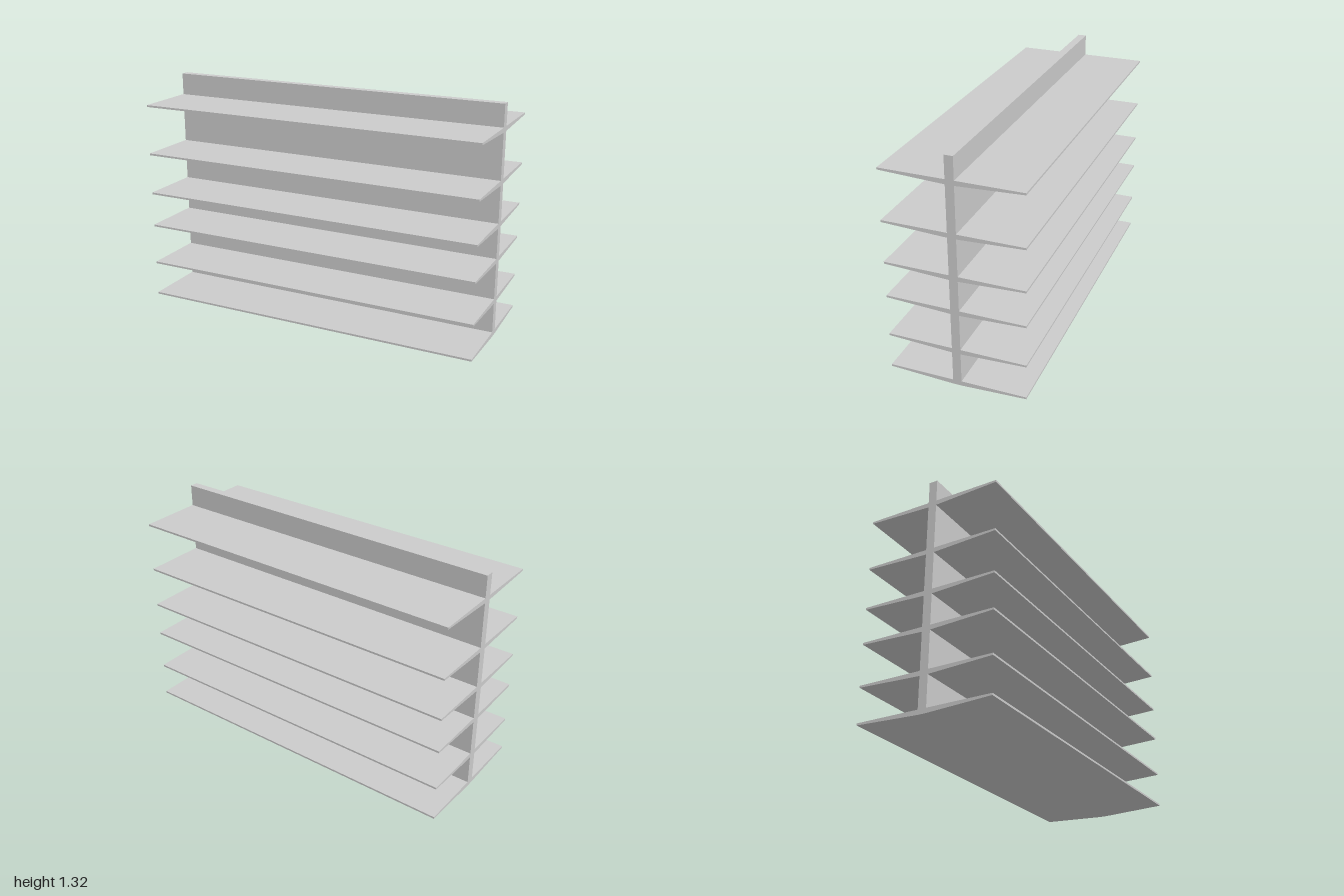
import * as THREE from 'three';

const LENGTH = 2, HEIGHT = 1.317, HALF_WALL = 0.024, REACH = 0.386;
const ROOT = 0.027, LIP = 0.011; // shelf thickness at the wall and at the outer edge
const SHELF_TOPS = [0.027, 0.227, 0.464, 0.665, 0.904, 1.191];

// Extrudes a (z, y) outline along x, centred on x = 0
function extrudeAlongX(points) {
  const shape = new THREE.Shape(points.map(([z, y]) => new THREE.Vector2(z, y)));
  const geometry = new THREE.ExtrudeGeometry(shape, { depth: LENGTH, bevelEnabled: false });
  return geometry.translate(0, 0, -LENGTH / 2).rotateY(-Math.PI / 2);
}

export function createModel() {
  const model = new THREE.Group();
  model.name = 'doubleSidedShelving';
  const material = new THREE.MeshStandardMaterial({ color: 0xcccccc, flatShading: true });

  // Upright centre wall
  const wall = new THREE.Mesh(new THREE.BoxGeometry(LENGTH, HEIGHT, HALF_WALL * 2), material);
  wall.name = 'centreWall';
  wall.position.y = HEIGHT / 2;
  model.add(wall);

  // Tapered shelf, flat on top and thinning towards the outer edge
  const shelfGeometry = extrudeAlongX([
    [HALF_WALL, -ROOT], [REACH, -LIP], [REACH, 0], [HALF_WALL, 0],
  ]);

  // One shelf on each side of the wall at every level
  SHELF_TOPS.forEach((top, i) => {
    for (const side of ['front', 'back']) {
      const shelf = new THREE.Mesh(shelfGeometry, material);
      shelf.name = `${side}Shelf${i + 1}`;
      shelf.position.y = top;
      if (side === 'back') shelf.rotation.y = Math.PI;
      model.add(shelf);
    }
  });
  return model;
}
